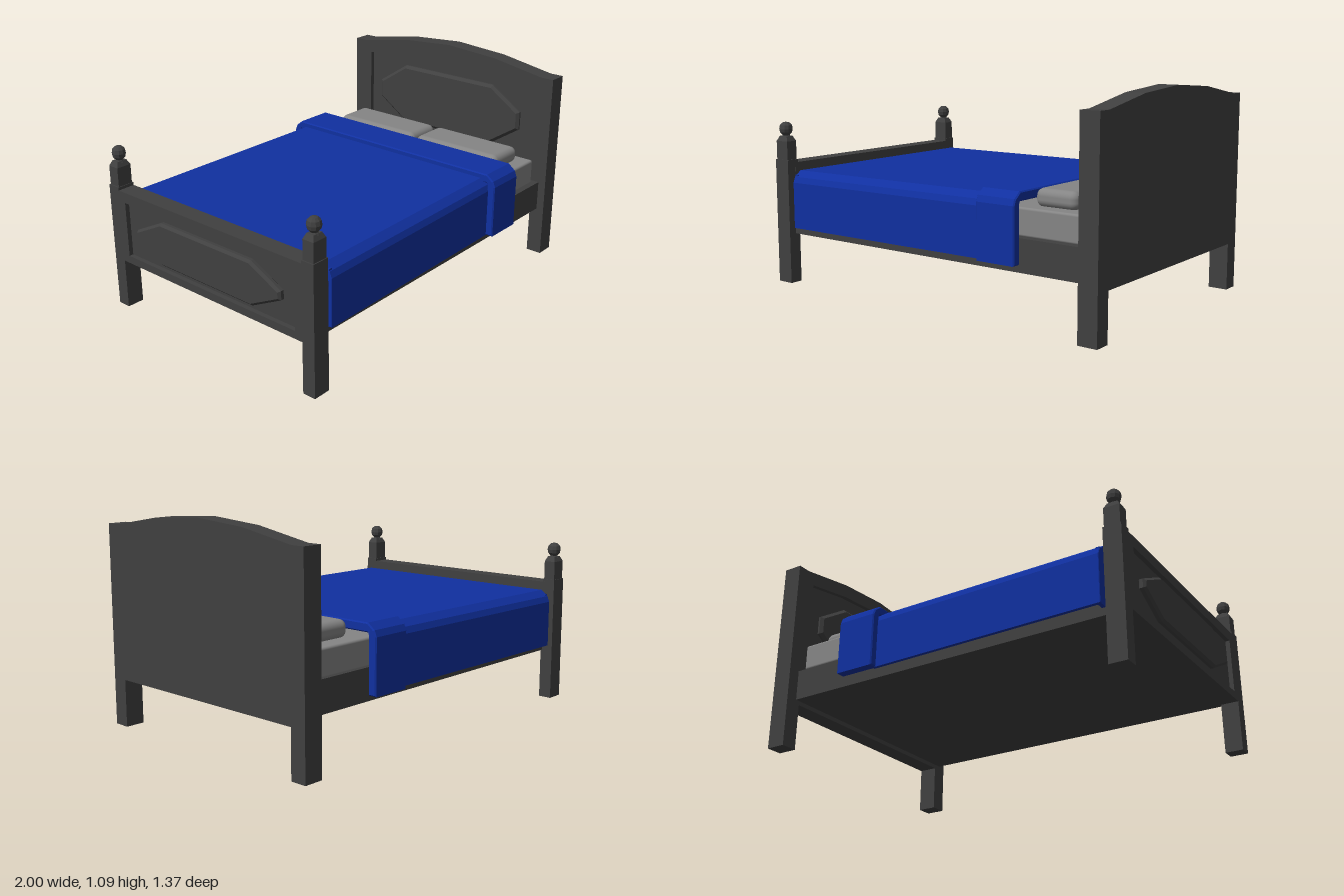
import * as THREE from 'three';
import { RoundedBoxGeometry } from 'three/addons/geometries/RoundedBoxGeometry.js';

const wood = new THREE.MeshStandardMaterial({ color: 0x404040, flatShading: true });
const linen = new THREE.MeshStandardMaterial({ color: 0x858585 });
const cloth = new THREE.MeshStandardMaterial({ color: 0x1030a0, flatShading: true, side: THREE.DoubleSide });

const toShape = (pts) => new THREE.Shape(pts.map(([z, y]) => new THREE.Vector2(z, y)));

// Mirrors the +z half of an outline, listed from bottom centre to top centre
const mirrored = (half) => [
  ...half,
  ...half.filter(([z]) => z !== 0).reverse().map(([z, y]) => [-z, y]),
];

// Extrudes a (z, y) outline from x0 to x1; the bevel stays inside that span
function slab(shape, x0, x1, bevel = 0) {
  const g = new THREE.ExtrudeGeometry(shape, {
    depth: x1 - x0 - 2 * bevel, bevelEnabled: bevel > 0, bevelSegments: 1,
    bevelSize: bevel, bevelThickness: bevel, bevelOffset: -bevel,
  });
  return g.rotateY(Math.PI / 2).translate(x0 + bevel, 0, 0);
}

function box(x0, x1, y0, y1, z0, z1) {
  return new THREE.BoxGeometry(x1 - x0, y1 - y0, z1 - z0)
    .translate((x0 + x1) / 2, (y0 + y1) / 2, (z0 + z1) / 2);
}

function roundBox(x0, x1, y0, y1, z0, z1, radius, segments) {
  return new RoundedBoxGeometry(x1 - x0, y1 - y0, z1 - z0, segments, radius)
    .translate((x0 + x1) / 2, (y0 + y1) / 2, (z0 + z1) / 2);
}

// Long octagonal field used as the raised panel
const octagon = (y0, y1, cut) => toShape(mirrored([
  [0.3, y0], [0.48, y0 + cut], [0.48, y1 - cut], [0.3, y1],
]));

// Draped cloth section: two hanging sides and a top with softened edges
function drape(w, top, t = 0.018) {
  const half = [
    [w - t, 0.3], [w, 0.3], [w, top - 0.06], [w - 0.012, top - 0.03], [w - 0.05, top],
  ];
  const left = half.slice(1).reverse().map(([z, y]) => [-z, y]);
  return toShape([...half, ...left, [-w + t, 0.3],
    [-w + t, top - 0.06], [-w + 0.05, top - t], [w - 0.05, top - t], [w - t, top - 0.06]]);
}

export function createModel() {
  const bed = new THREE.Group();
  bed.name = 'bed';
  const add = (name, geometry, material, parent = bed) => {
    const mesh = new THREE.Mesh(geometry, material);
    mesh.name = name;
    parent.add(mesh);
    return mesh;
  };

  // Headboard: arched slab with legs, recessed on the inner face
  const headboard = new THREE.Group();
  headboard.name = 'headboard';
  bed.add(headboard);
  const headOutline = mirrored([
    [0.587, 0.24], [0.587, 0], [0.672, 0], [0.672, 1.012],
    [0.6, 1.012], [0.3, 1.064], [0, 1.085],
  ]);
  const frame = toShape(headOutline);
  frame.holes.push(toShape(mirrored([
    [0.56, 0.46], [0.56, 0.945], [0.3, 0.99], [0, 1.01],
  ])));
  add('headboardFrame', slab(frame, 0.9, 0.925), wood, headboard);
  add('headboardBack', slab(toShape(headOutline), 0.925, 1), wood, headboard);
  add('headboardRaisedPanel', slab(octagon(0.57, 0.91, 0.12), 0.89, 0.93, 0.015), wood, headboard);

  // Footboard: framed panel with a raised field on the outer face
  const footboard = new THREE.Group();
  footboard.name = 'footboard';
  bed.add(footboard);
  const footFrame = toShape([[-0.62, 0.26], [0.62, 0.26], [0.62, 0.64], [-0.62, 0.64]]);
  footFrame.holes.push(toShape([[-0.56, 0.3], [0.56, 0.3], [0.56, 0.585], [-0.56, 0.585]]));
  add('footboardFrame', slab(footFrame, -0.99, -0.967), wood, footboard);
  add('footboardBack', box(-0.967, -0.897, 0.26, 0.64, -0.62, 0.62), wood, footboard);
  add('footboardRaisedPanel', slab(octagon(0.33, 0.555, 0.09), -1, -0.96, 0.012), wood, footboard);

  // Foot posts with stepped blocks and ball finials
  const finialProfile = [
    [0.026, 0.77], [0.018, 0.782], [0.031, 0.797], [0.035, 0.815],
    [0.031, 0.835], [0.018, 0.848], [0, 0.852],
  ].map(([r, y]) => new THREE.Vector2(r, y));
  for (const side of [-1, 1]) {
    const post = new THREE.Group();
    post.name = side > 0 ? 'leftFootPost' : 'rightFootPost';
    post.position.set(-0.944, 0, side * 0.637);
    bed.add(post);
    add('postShaft', box(-0.046, 0.046, 0, 0.655, -0.035, 0.035), wood, post);
    add('postBlock', box(-0.04, 0.04, 0.655, 0.752, -0.031, 0.031), wood, post);
    const cap = new THREE.CylinderGeometry(0.026 * Math.SQRT2, 0.04 * Math.SQRT2, 0.026, 4)
      .rotateY(Math.PI / 4).scale(1, 1, 0.78).translate(0, 0.765, 0);
    add('postCap', cap, wood, post);
    add('postFinial', new THREE.LatheGeometry(finialProfile, 10), wood, post);
  }

  // Base and mattress
  add('bedBase', box(-0.9, 0.905, 0.262, 0.42, -0.61, 0.63), wood);
  add('mattress', roundBox(-0.86, 0.865, 0.42, 0.555, -0.605, 0.605, 0.012, 2), linen);

  // Pair of pillows
  for (const z of [-0.268, 0.279]) {
    add('pillow', roundBox(0.58, 0.805, 0.55, 0.637, z - 0.264, z + 0.264, 0.035, 3), linen);
  }

  // Blanket, slightly narrower and higher toward the head
  const blanket = slab(drape(0.665, 0.6), -0.87, 0.38, 0.003);
  const p = blanket.attributes.position;
  for (let i = 0; i < p.count; i++) {
    const k = (p.getX(i) + 0.87) / 1.25;
    p.setZ(i, p.getZ(i) * (1 - 0.024 * k));
    if (p.getY(i) > 0.5) p.setY(i, p.getY(i) + 0.006 * k);
  }
  blanket.computeVertexNormals();
  add('blanket', blanket, cloth);
  add('blanketFootDrop', box(-0.869, -0.85, 0.3, 0.58, -0.65, 0.65), cloth);

  // Turned-back fold at the head end
  add('blanketFold', slab(drape(0.686, 0.632, 0.045), 0.358, 0.572, 0.006), cloth);
  return bed;
}
